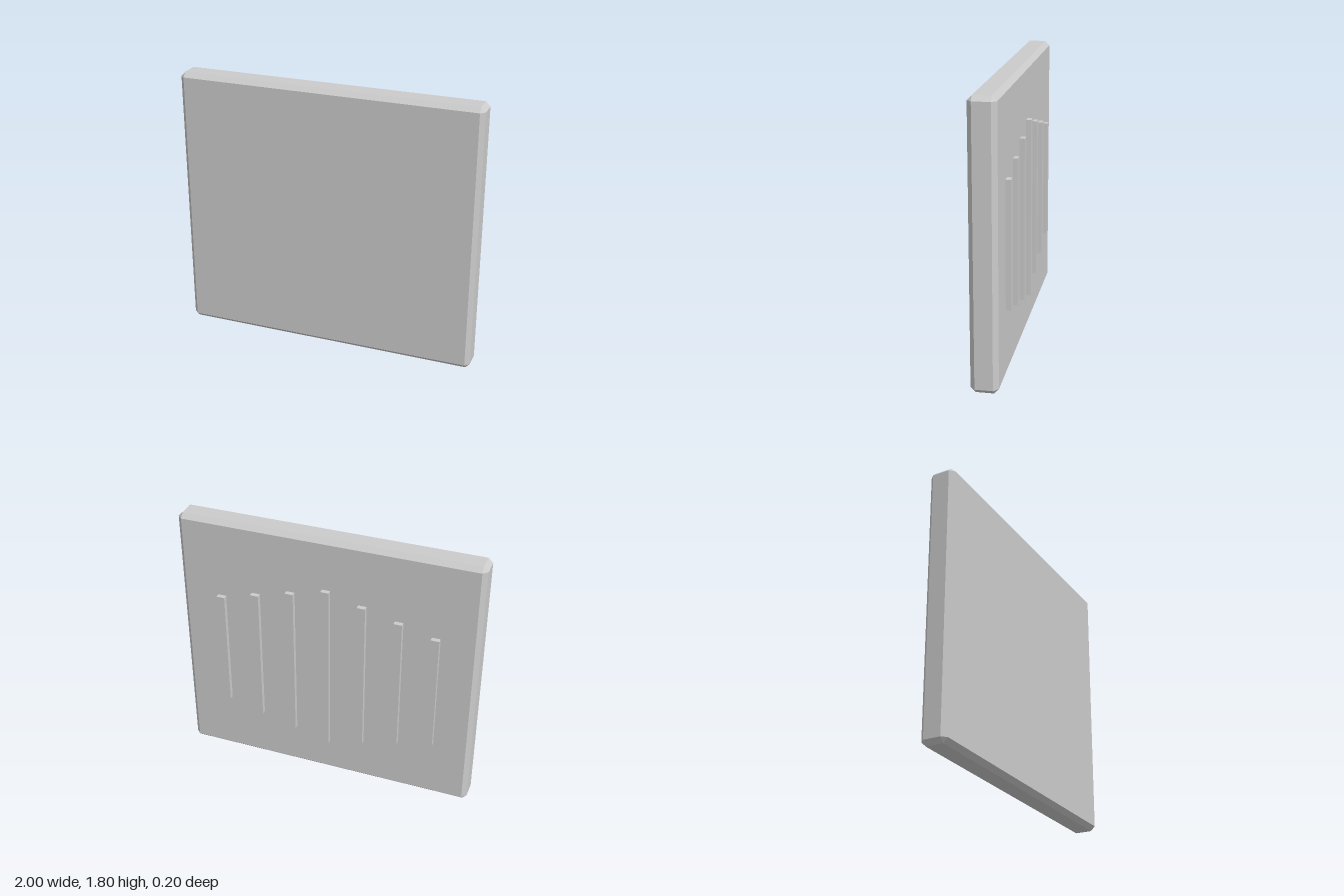
import * as THREE from 'three';
import { ConvexGeometry } from 'three/addons/geometries/ConvexGeometry.js';

// Box with every edge and corner cut flat by c
function chamferedBox(w, h, d, c) {
  const half = [w / 2, h / 2, d / 2];
  const points = [];
  for (const sx of [-1, 1]) for (const sy of [-1, 1]) for (const sz of [-1, 1]) {
    for (let axis = 0; axis < 3; axis++) {
      const [x, y, z] = half.map((v, i) => (i === axis ? v : v - c));
      points.push(new THREE.Vector3(sx * x, sy * y, sz * z));
    }
  }
  return new ConvexGeometry(points);
}

export function createModel() {
  const model = new THREE.Group();
  model.name = 'panel';
  const material = new THREE.MeshStandardMaterial({ color: 0xcccccc, flatShading: true });

  const frontZ = 0.102, slabBackZ = -0.07, ribBackZ = -0.102;

  // Main slab with chamfered edges
  const slab = new THREE.Mesh(chamferedBox(2, 1.8, frontZ - slabBackZ, 0.03), material);
  slab.name = 'slab';
  slab.position.set(0, 0.9, (frontZ + slabBackZ) / 2);
  model.add(slab);

  // Seven upright ribs on the back, longest in the middle
  const ribs = new THREE.Group();
  ribs.name = 'backRibs';
  const sink = 0.01;
  const depth = slabBackZ - ribBackZ + sink;
  for (let i = -3; i <= 3; i++) {
    const height = 1.2 - 0.127 * Math.abs(i);
    const rib = new THREE.Mesh(new THREE.BoxGeometry(0.055, height, depth), material);
    rib.name = 'backRib';
    rib.position.set(-0.005 + 0.24 * i, 0.85, ribBackZ + depth / 2);
    ribs.add(rib);
  }
  model.add(ribs);

  return model;
}
